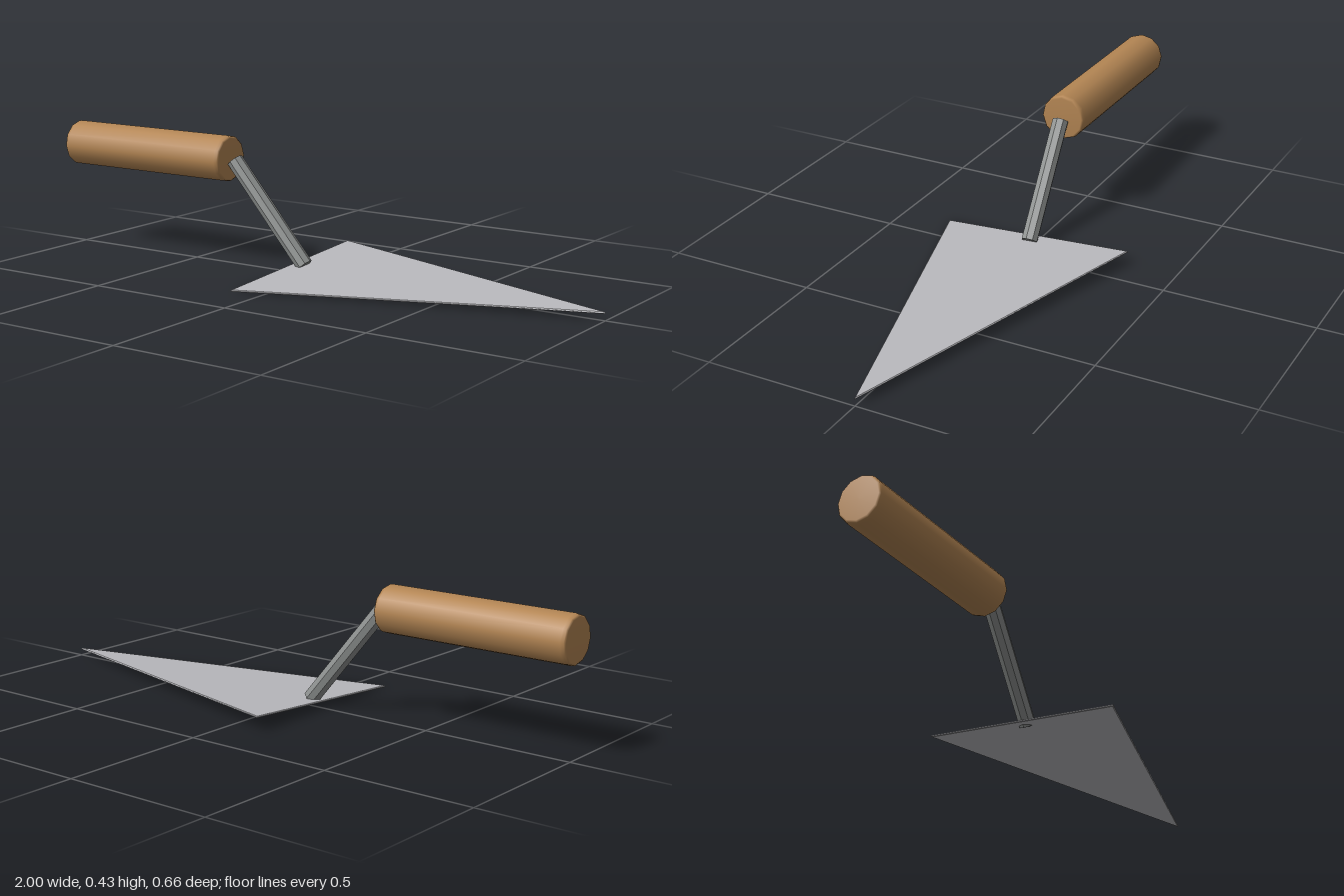
import * as THREE from 'three';

export function createModel() {
  const wood = new THREE.MeshStandardMaterial({ color: 0xb38553 });
  wood.name = 'wood';
  const blade = new THREE.MeshStandardMaterial({ color: 0xb9b9bd });
  blade.name = 'bladeSteel';
  const iron = new THREE.MeshStandardMaterial({ color: 0x8e9190, flatShading: true });
  iron.name = 'rodSteel';

  const model = new THREE.Group();
  model.name = 'trowel';

  // The whole tool leans slightly about its long axis
  const tool = new THREE.Group();
  tool.name = 'leaningTool';
  tool.rotation.x = 0.063;
  tool.position.y = 0.0245;
  model.add(tool);

  const add = (name, geometry, material) => {
    const mesh = new THREE.Mesh(geometry, material);
    mesh.name = name;
    tool.add(mesh);
    return mesh;
  };

  // Handle: twelve-sided grip with softened ends, lying along x
  const length = 0.665, radius = 0.077;
  const half = [[0, 0], [0.069, 0], [0.0745, 0.005], [radius, 0.016]];
  const profile = [
    ...half.map(([r, y]) => new THREE.Vector2(r, y)),
    ...half.map(([r, y]) => new THREE.Vector2(r, length - y)).reverse(),
  ];
  const handle = add('handle', new THREE.LatheGeometry(profile, 12), wood);
  handle.rotation.z = Math.PI / 2;
  handle.position.set(-0.335, 0.332, 0);

  // Rod: eight-sided, slanting from the handle down through the blade
  const top = new THREE.Vector2(-0.32, 0.329), foot = new THREE.Vector2(-0.057, 0.005);
  const rod = add('rod', new THREE.CylinderGeometry(0.0275, 0.0275, top.distanceTo(foot), 8), iron);
  rod.position.set((top.x + foot.x) / 2, (top.y + foot.y) / 2, 0);
  rod.rotation.z = Math.atan2(foot.x - top.x, top.y - foot.y);

  // Blade: thin triangular plate with a fine bevelled edge
  const outline = new THREE.Shape([
    new THREE.Vector2(-0.105, -0.327),
    new THREE.Vector2(0.996, 0),
    new THREE.Vector2(-0.105, 0.327),
  ]);
  const plate = new THREE.ExtrudeGeometry(outline, {
    depth: 0.002, bevelEnabled: true, bevelThickness: 0.002, bevelSize: 0.003, bevelSegments: 1,
  });
  plate.translate(0, 0, -0.001);
  plate.rotateX(-Math.PI / 2);
  add('blade', plate, blade);

  return model;
}
